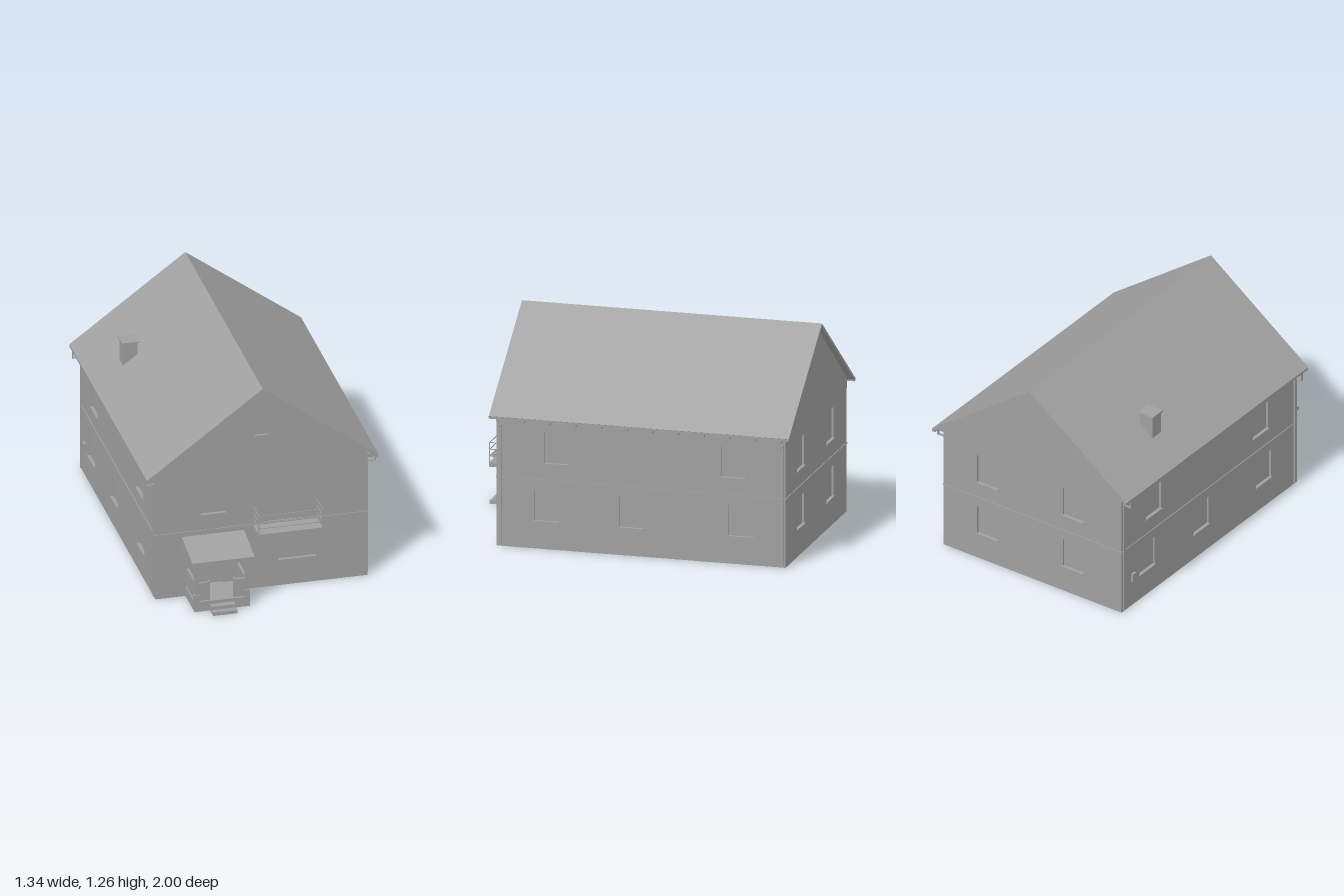
import * as THREE from 'three';

export function createModel() {
  const house = new THREE.Group();
  house.name = 'house';
  const grey = new THREE.MeshStandardMaterial({ color: 0xa0a0a0, side: THREE.DoubleSide });
  grey.name = 'plaster grey';

  const add = (name, geometry, parent = house) => {
    const mesh = new THREE.Mesh(geometry, grey);
    mesh.name = name;
    parent.add(mesh);
    return mesh;
  };
  // box given by its two extremes on every axis
  const box = (name, x0, x1, y0, y1, z0, z1, parent = house) => {
    const mesh = add(name, new THREE.BoxGeometry(x1 - x0, y1 - y0, z1 - z0), parent);
    mesh.position.set((x0 + x1) / 2, (y0 + y1) / 2, (z0 + z1) / 2);
    return mesh;
  };
  const polygon = (points) => new THREE.Shape(points.map(([x, y]) => new THREE.Vector2(x, y)));
  const extrude = (points, depth) =>
    new THREE.ExtrudeGeometry(polygon(points), { depth, bevelEnabled: false });

  const W = 0.613, FRONT = 0.72, BACK = -0.965, T = 0.014;

  // wall with openings [u0, u1, y0, y1, hasSill], recessed panes and a string course
  const wall = (name, outline, openings, x, z, turn) => {
    const group = new THREE.Group();
    group.name = name;
    group.position.set(x, 0, z);
    group.rotation.y = turn;
    house.add(group);
    const shape = polygon(outline);
    for (const [u0, u1, y0, y1, sill] of openings) {
      const hole = polygon([[u0, y0], [u0, y1], [u1, y1], [u1, y0]]);
      shape.holes.push(hole);
      box('windowPane', u0, u1, y0, y1, -T - 0.002, -T + 0.002, group);
      if (sill) box('windowSill', u0 - 0.005, u1 + 0.005, y0 - 0.007, y0, -T, 0.008, group);
    }
    const panel = new THREE.ExtrudeGeometry(shape, { depth: T, bevelEnabled: false });
    panel.translate(0, 0, -T);
    add('wallPanel', panel, group);
    box('stringCourse', outline[0][0], outline[1][0], 0.395, 0.403, -0.002, 0.005, group);
    return group;
  };

  const gable = [[-W, 0], [W, 0], [W, 0.785], [0, 1.242], [-W, 0.785]];
  const upper = (u) => [u - 0.072, u + 0.072, 0.5, 0.678, true];
  const lower = (u) => [u - 0.072, u + 0.072, 0.162, 0.34, true];

  wall('frontWall', gable, [
    [-0.35, -0.21, 0.5, 0.675, true],
    [0.10, 0.313, 0.162, 0.34, true],
    [0.045, 0.235, 0.405, 0.645, false],
    [-0.34, -0.225, 0.06, 0.298, false],
    [-0.042, 0.042, 0.955, 1.003, false],
  ], 0, FRONT, 0);
  wall('backWall', gable, [upper(-0.31), upper(0.28), lower(-0.31), lower(0.28)], 0, BACK, Math.PI);
  const sideOutline = (a, b) => [[a, 0], [b, 0], [b, 0.785], [a, 0.785]];
  wall('leftWall', sideOutline(-FRONT, -BACK),
    [upper(-0.37), upper(0.66), lower(-0.43), lower(0.065), lower(0.705)], W, 0, Math.PI / 2);
  wall('rightWall', sideOutline(BACK, FRONT),
    [upper(0.37), upper(-0.66), lower(0.4), lower(-0.2), lower(-0.72)], -W, 0, -Math.PI / 2);

  // gable roof slab
  const roof = add('roof', extrude([
    [-0.67, 0.765], [-0.66, 0.75], [0, 1.24], [0.66, 0.75], [0.67, 0.765], [0, 1.26],
  ], 1.75));
  roof.position.z = -1;

  for (const s of [-1, 1]) {
    const span = (name, a, b, ...rest) => box(name, Math.min(s * a, s * b), Math.max(s * a, s * b), ...rest);
    // eaves gutter and rafter tails
    span('gutter', 0.648, 0.67, 0.75, 0.764, -1, 0.75);
    for (let i = 0; i < 12; i++) {
      const z = 0.705 - i * 0.15;
      span('rafterTail', W, 0.655, 0.733, 0.756, z - 0.006, z + 0.006);
    }
    // downpipes near the corners
    for (const z of [0.695, -0.945]) {
      span('downpipeDrop', 0.661, 0.668, 0.703, 0.755, z - 0.006, z + 0.006);
      span('downpipeElbow', 0.613, 0.668, 0.703, 0.71, z - 0.006, z + 0.006);
      span('downpipe', W, 0.622, 0.01, 0.71, z - 0.007, z + 0.007);
    }
  }

  // chimney
  box('chimney', -0.505, -0.42, 0.86, 1.022, -0.518, -0.436);
  box('chimneyCap', -0.513, -0.41, 1.02, 1.03, -0.526, -0.428);

  // meter cabinet on the side wall
  box('meterCabinet', -0.627, -W, 0.16, 0.21, -0.875, -0.84);

  // porch floor and steps
  box('porchFloor', -0.44, -0.12, 0, 0.06, FRONT, 0.928);
  box('upperStep', -0.35, -0.21, 0, 0.04, 0.928, 0.965);
  box('lowerStep', -0.35, -0.21, 0, 0.02, 0.965, 1);

  // porch posts, side parapets and front parapets
  for (const s of [-1, 1]) {
    const c = -0.28 + s * 0.146;
    box('postBase', c - 0.016, c + 0.016, 0.06, 0.1, 0.895, 0.927);
    box('postShaft', c - 0.01, c + 0.01, 0.1, 0.288, 0.901, 0.921);
    box('postCapital', c - 0.016, c + 0.016, 0.285, 0.302, 0.895, 0.927);
    box('sideParapet', c - 0.007, c + 0.007, 0.06, 0.17, FRONT, 0.9);
    const inner = -0.28 + s * 0.075;
    box('frontParapet', Math.min(c, inner), Math.max(c, inner), 0.06, 0.17, 0.9, 0.914);
    box('entryPost', inner - 0.006, inner + 0.006, 0.06, 0.178, 0.898, 0.916);
  }
  box('letterBox', -0.4, -0.362, 0.17, 0.21, FRONT, 0.735);
  box('porchLamp', -0.2, -0.17, 0.242, 0.286, FRONT, 0.737);

  // sloping porch roof, its profile drawn along z
  const porchRoof = add('porchRoof', extrude([
    [-0.70, 0.3], [-0.7, 0.377], [-0.957, 0.32], [-0.957, 0.308], [-0.94, 0.3],
  ], 0.36));
  porchRoof.rotation.y = Math.PI / 2;
  porchRoof.position.x = -0.46;

  // balcony slab with three-sided railing
  const X0 = -0.048, X1 = 0.323, Z1 = 0.848, r = 0.004;
  box('balconySlab', X0, X1, 0.37, 0.397, 0.69, Z1);
  for (const y of [0.433, 0.472, 0.511]) {
    box('frontRail', X0, X1, y - r / 2, y + r / 2, Z1 - r, Z1);
    for (const x of [X0, X1 - r]) box('sideRail', x, x + r, y - r / 2, y + r / 2, FRONT, Z1);
  }
  for (const x of [X0, X1 - r])
    for (const z of [FRONT + 0.005, Z1 - r]) box('railPost', x, x + r, 0.397, 0.513, z, z + r);

  return house;
}
